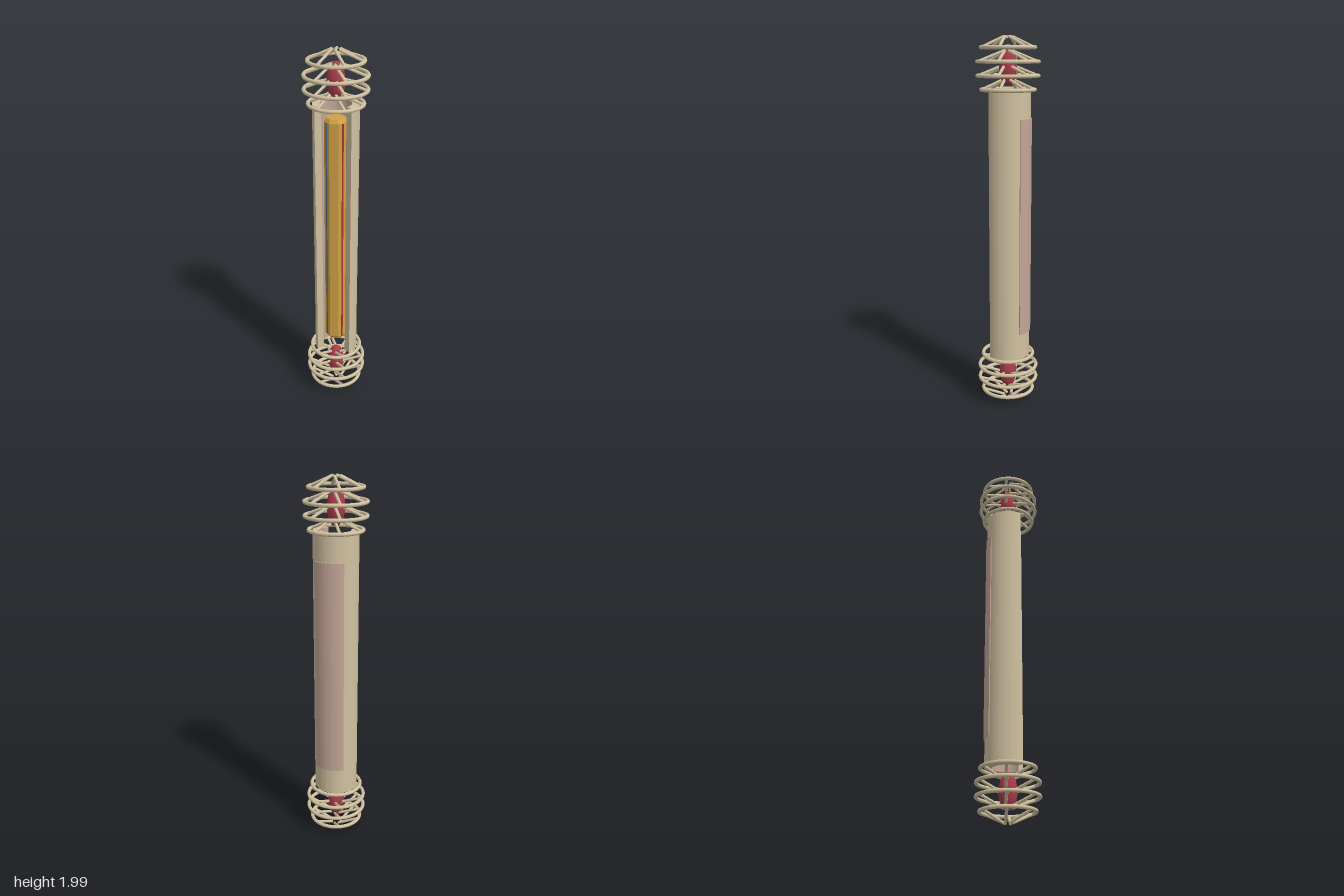
import * as THREE from 'three';
import { toCreasedNormals } from 'three/addons/utils/BufferGeometryUtils.js';

const material = (name, color, extra = {}) =>
  Object.assign(new THREE.MeshStandardMaterial({ color, ...extra }), { name });

// Upright curved wall; angles in degrees, 90 is the back
function curvedWall(inner, outer, from, to, bottom, top) {
  const a = THREE.MathUtils.degToRad(from);
  const b = THREE.MathUtils.degToRad(to);
  const shape = new THREE.Shape();
  shape.absarc(0, 0, outer, a, b, false);
  shape.absarc(0, 0, inner, b, a, true);
  const geometry = new THREE.ExtrudeGeometry(shape, {
    depth: top - bottom, bevelEnabled: false, curveSegments: 40,
  });
  geometry.rotateX(-Math.PI / 2).translate(0, bottom, 0);
  return toCreasedNormals(geometry, 0.5);
}

export function createModel() {
  const model = new THREE.Group();
  model.name = 'cagedTube';

  const beige = material('beige shell', 0xd0c1a0);
  const pink = material('dusty pink', 0xc4a597);
  const gold = material('gold core', 0xcfa046, { flatShading: true });
  const red = material('crimson gem', 0xa83c4a);
  const blue = material('blue line', 0x4a6c94);
  const scarlet = material('scarlet line', 0xb23230);

  const add = (parent, name, geometry, mat) => {
    const mesh = new THREE.Mesh(geometry, mat);
    mesh.name = name;
    parent.add(mesh);
    return mesh;
  };

  // Open-fronted housing with inner lining and a rear plate
  add(model, 'shell', curvedWall(0.081, 0.118, -39, 219, 0.28, 1.73), beige);
  add(model, 'lining', curvedWall(0.0795, 0.081, -39, 219, 0.28, 1.73), pink);
  add(model, 'backPlate', curvedWall(0.1175, 0.124, 49, 131, 0.425, 1.585), pink);

  // Eight-sided core with chamfered ends
  const coreProfile = [
    [0, 0.35], [0.049, 0.35], [0.061, 0.368], [0.061, 1.642], [0.049, 1.66], [0, 1.66],
  ].map(([x, y]) => new THREE.Vector2(x, y));
  add(model, 'core', new THREE.LatheGeometry(coreProfile, 8, Math.PI / 8), gold);

  // Thin coloured lines down the core
  for (const [name, degrees, mat] of [['blueLine', -45, blue], ['redLine', 48, scarlet]]) {
    const angle = THREE.MathUtils.degToRad(degrees);
    const line = add(model, name, new THREE.BoxGeometry(0.009, 1.27, 0.006), mat);
    line.position.set(Math.sin(angle) * 0.056, 1.005, Math.cos(angle) * 0.056);
    line.rotation.y = angle;
  }

  // Cage of four rings with swirled spokes, around a gem
  const buildCage = (name, direction) => {
    const cage = new THREE.Group();
    cage.name = name;
    const heights = [0.725, 0.795, 0.865, 0.935];
    const radii = [0.138, 0.157, 0.157, 0.138];
    heights.forEach((height, i) => {
      const y = 1.005 + direction * height;
      const ring = add(cage, 'ring', new THREE.TorusGeometry(radii[i], 0.01, 8, 48), beige);
      ring.rotation.x = Math.PI / 2;
      ring.position.y = y;
      for (let k = 0; k < 6; k++) {
        const outerAngle = k * Math.PI / 3;
        const innerAngle = outerAngle + Math.PI / 6;
        const r = radii[i] - 0.002;
        const start = new THREE.Vector3(Math.cos(outerAngle) * r, y, Math.sin(outerAngle) * r);
        const end = new THREE.Vector3(
          Math.cos(innerAngle) * 0.022, y + direction * 0.053, Math.sin(innerAngle) * 0.022);
        const along = end.clone().sub(start);
        const spoke = add(cage, 'spoke',
          new THREE.CylinderGeometry(0.008, 0.008, along.length(), 8), beige);
        spoke.position.copy(start).add(end).multiplyScalar(0.5);
        spoke.quaternion.setFromUnitVectors(new THREE.Vector3(0, 1, 0), along.normalize());
      }
    });
    const gem = add(cage, 'gem', new THREE.SphereGeometry(1, 12, 10), red);
    gem.scale.set(0.047, 0.095, 0.047);
    gem.position.y = 1.005 + direction * 0.838;
    model.add(cage);
  };
  buildCage('topCage', 1);
  buildCage('bottomCage', -1);

  // Rest the lowest spokes on the ground
  const box = new THREE.Box3().setFromObject(model);
  model.children.forEach((part) => { part.position.y -= box.min.y; });
  return model;
}
